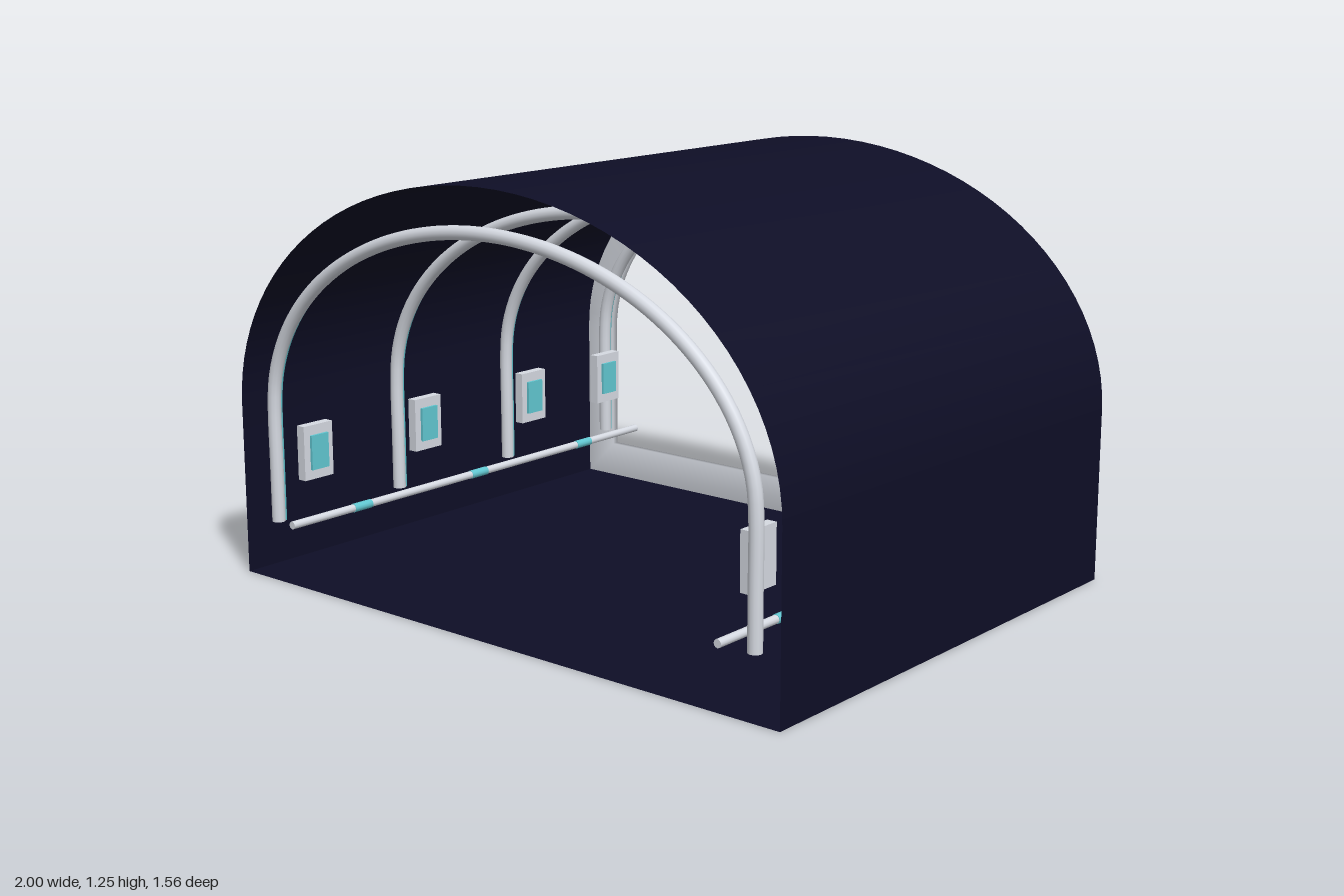
import * as THREE from 'three';
import { toCreasedNormals } from 'three/addons/utils/BufferGeometryUtils.js';

const HALF_LENGTH = 0.78;
const SPRING = 0.52; // height where the walls turn into the vault

// Closed tunnel outline, moved inwards by d
function outline(d) {
  const w = 1 - d, points = [[-w, d], [w, d]];
  for (let i = 0; i <= 48; i++) {
    const a = Math.PI * i / 48;
    points.push([w * Math.cos(a), SPRING + (0.73 - d) * Math.sin(a)]);
  }
  return points;
}

// Surface through copies of the outline; each section entry is [inset, z]
function loft(section, closed) {
  const rows = section.map(([d]) => outline(d));
  const n = rows[0].length, m = section.length;
  const position = [], index = [];
  rows.forEach((row, j) => row.forEach(([x, y]) => position.push(x, y, section[j][1])));
  for (let j = 0; j < (closed ? m : m - 1); j++) {
    for (let i = 0; i < n; i++) {
      const a = j * n + i, b = j * n + (i + 1) % n;
      const up = ((j + 1) % m) * n;
      const c = up + (i + 1) % n, d = up + i;
      index.push(a, b, c, a, c, d);
    }
  }
  const geometry = new THREE.BufferGeometry();
  geometry.setAttribute('position', new THREE.Float32BufferAttribute(position, 3));
  geometry.setIndex(index);
  geometry.computeVertexNormals();
  return geometry;
}

// Path of an arch rib: straight leg, half ellipse, straight leg
function ribPath(w, top) {
  const points = [new THREE.Vector3(w, 0.17, 0), new THREE.Vector3(w, 0.34, 0)];
  for (let i = 0; i <= 24; i++) {
    const a = Math.PI * i / 24;
    points.push(new THREE.Vector3(w * Math.cos(a), SPRING + (top - SPRING) * Math.sin(a), 0));
  }
  points.push(new THREE.Vector3(-w, 0.34, 0), new THREE.Vector3(-w, 0.17, 0));
  return new THREE.CatmullRomCurve3(points);
}

export function createModel() {
  const model = new THREE.Group();
  model.name = 'tunnel';

  const navy = new THREE.MeshStandardMaterial({ color: 0x0e0e26, side: THREE.DoubleSide });
  navy.name = 'dark navy';
  const grey = new THREE.MeshStandardMaterial({ color: 0xd6dae2 });
  grey.name = 'light grey';
  const teal = new THREE.MeshStandardMaterial({ color: 0x62c8d2 });
  teal.name = 'teal glow';

  function add(name, geometry, material, x = 0, y = 0, z = 0, parent = model) {
    const mesh = new THREE.Mesh(geometry, material);
    mesh.name = name;
    mesh.position.set(x, y, z);
    parent.add(mesh);
    return mesh;
  }

  // Open shell with floor
  const shell = loft([[0, -HALF_LENGTH], [0, HALF_LENGTH]], false);
  add('shell', toCreasedNormals(shell, 0.6), navy);

  // Rounded-looking frame around the back opening
  const frame = loft([
    [0.001, -HALF_LENGTH - 0.001], [0.001, -HALF_LENGTH + 0.02],
    [0.112, -HALF_LENGTH + 0.02], [0.112, -HALF_LENGTH - 0.001],
  ], true);
  add('backFrame', frame, grey);

  // Arch ribs, each with a thin light strip on its back side
  const rib = new THREE.TubeGeometry(ribPath(0.895, 1.12), 96, 0.02, 12);
  const strip = new THREE.TubeGeometry(ribPath(0.892, 1.117), 96, 0.008, 8);
  const foot = new THREE.CircleGeometry(0.02, 12).rotateX(Math.PI / 2);
  for (const z of [0.745, 0.255, -0.235, -0.725]) {
    const arch = new THREE.Group();
    arch.name = 'arch';
    arch.position.z = z;
    model.add(arch);
    add('archRib', rib, grey, 0, 0, 0, arch);
    add('archLight', strip, teal, 0, 0, -0.018, arch);
    for (const s of [1, -1]) add('archFoot', foot, grey, s * 0.895, 0.17, 0, arch);
  }

  // Wall panels with screens, and rails with light bands, on both sides
  const panel = new THREE.BoxGeometry(0.03, 0.165, 0.11);
  const screen = new THREE.BoxGeometry(0.009, 0.105, 0.065);
  const rail = new THREE.CylinderGeometry(0.012, 0.012, 2 * HALF_LENGTH - 0.01, 12).rotateX(Math.PI / 2);
  const band = new THREE.CylinderGeometry(0.0135, 0.0135, 0.07, 12).rotateX(Math.PI / 2);
  for (const s of [1, -1]) {
    for (const z of [0.65, 0.2, -0.28, -0.65]) {
      add('wallPanel', panel, grey, s * 0.83, 0.38, z);
      add('panelScreen', screen, teal, s * 0.811, 0.38, z);
    }
    add('rail', rail, grey, s * 0.8, 0.18, 0);
    for (const z of [0.5, 0, -0.5]) add('railLight', band, teal, s * 0.8, 0.18, z);
  }

  return model;
}
